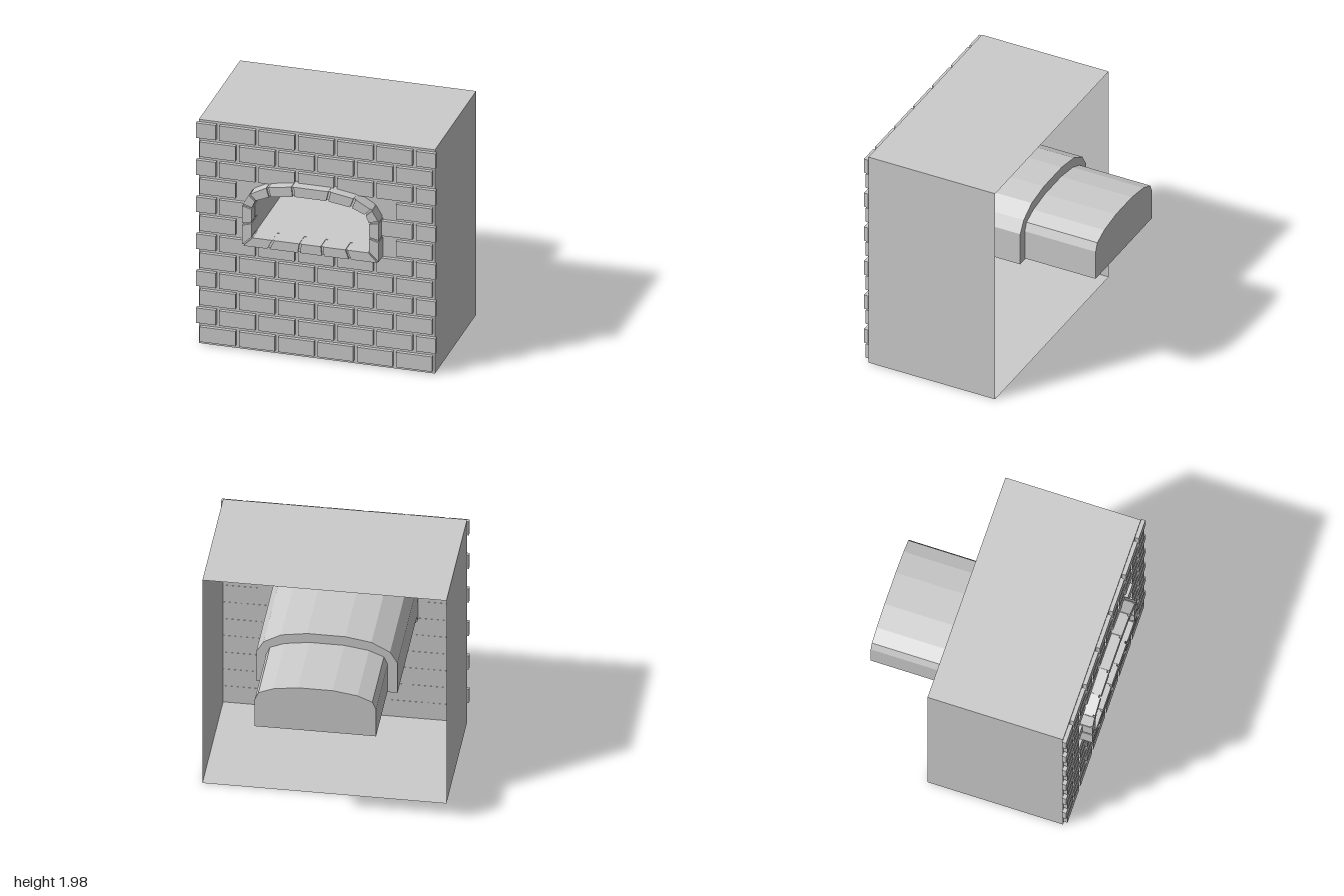
import * as THREE from 'three';

const grey = new THREE.MeshStandardMaterial({ color: 0xcccccc, flatShading: true, side: THREE.DoubleSide });

// Joints of the arch surround, anticlockwise from the lower right corner
const outer = [[0.55, 0.97], [0.55, 1.16], [0.55, 1.33], [0.49, 1.43], [0.35, 1.51], [0.14, 1.545],
  [-0.17, 1.545], [-0.38, 1.51], [-0.53, 1.43], [-0.59, 1.33], [-0.59, 1.16], [-0.59, 0.97],
  [-0.37, 0.97], [-0.115, 0.97], [0.085, 0.97], [0.31, 0.97]];
const inner = [[0.47, 1.05], [0.47, 1.18], [0.47, 1.31], [0.44, 1.38], [0.32, 1.43], [0.12, 1.46],
  [-0.16, 1.46], [-0.36, 1.43], [-0.48, 1.38], [-0.51, 1.31], [-0.51, 1.18], [-0.51, 1.05],
  [-0.33, 1.05], [-0.105, 1.05], [0.075, 1.05], [0.28, 1.05]];

const toShape = (pts) => new THREE.Shape(pts.map(([x, y]) => new THREE.Vector2(x, y)));

function add(parent, name, geometry, x = 0, y = 0, z = 0) {
  const mesh = new THREE.Mesh(geometry, grey);
  mesh.name = name;
  mesh.position.set(x, y, z);
  parent.add(mesh);
  return mesh;
}

function prism(pts, z0, z1, hole) {
  const shape = toShape(pts);
  if (hole) shape.holes.push(toShape(hole));
  return new THREE.ExtrudeGeometry(shape, { depth: z1 - z0, bevelEnabled: false }).translate(0, 0, z0);
}

// Open-ended wall following a closed outline between two depths
function sleeve(pts, z0, z1) {
  const pos = [];
  pts.forEach(([ax, ay], i) => {
    const [bx, by] = pts[(i + 1) % pts.length];
    pos.push(ax, ay, z0, bx, by, z0, bx, by, z1, ax, ay, z0, bx, by, z1, ax, ay, z1);
  });
  const g = new THREE.BufferGeometry();
  g.setAttribute('position', new THREE.Float32BufferAttribute(pos, 3));
  g.computeVertexNormals();
  return g;
}

const mix = (a, b, t) => [a[0] + (b[0] - a[0]) * t, a[1] + (b[1] - a[1]) * t];

export function createModel() {
  const model = new THREE.Group();
  model.name = 'brickOven';

  // Casing: thin panels, open at the back
  const casing = new THREE.Group();
  casing.name = 'casing';
  model.add(casing);
  const W = 0.985, H = 1.98, back = -0.31, front = 0.83;
  const depth = front - back, mid = (front + back) / 2;
  for (const s of [-1, 1]) {
    add(casing, s > 0 ? 'leftPanel' : 'rightPanel',
      new THREE.PlaneGeometry(depth, H).rotateY(s * Math.PI / 2), s * W, H / 2, mid);
    add(casing, s > 0 ? 'topPanel' : 'bottomPanel',
      new THREE.PlaneGeometry(2 * W, depth).rotateX(-s * Math.PI / 2), 0, s > 0 ? H : 0, mid);
  }
  const wall = toShape([[-W, 0], [W, 0], [W, H], [-W, H]]);
  wall.holes.push(toShape(outer.map((p, i) => mix(p, inner[i], 0.2))));
  add(casing, 'frontPanel', new THREE.ShapeGeometry(wall), 0, 0, front);

  // Running-bond brick courses, left out across the opening
  const bricks = new THREE.Group();
  bricks.name = 'bricks';
  model.add(bricks);
  const pitch = 0.328, length = 0.298;
  for (let row = 0; row < 12; row++) {
    const odd = row % 2;
    for (let i = 0; i < 6 + odd; i++) {
      const c = (i - (odd ? 3 : 2.5)) * pitch;
      const x0 = Math.max(-1, c - length / 2), x1 = Math.min(1, c + length / 2);
      if (row > 5 && row < 9 && x1 > -0.5 && x0 < 0.47) continue;
      add(bricks, 'brick', new THREE.BoxGeometry(x1 - x0, 0.132, 0.035),
        (x0 + x1) / 2, 0.094 + row * 0.1637, 0.8455);
    }
  }

  // Arch surround: separate stones over a slightly recessed mortar ring
  const surround = new THREE.Group();
  surround.name = 'archSurround';
  model.add(surround);
  add(surround, 'mortarRing', prism(
    outer.map((p, i) => mix(p, inner[i], 0.06)), 0.775, 0.93,
    inner.map((p, i) => mix(p, outer[i], 0.06))));
  outer.forEach((o, i) => {
    const j = (i + 1) % outer.length;
    const t = 0.01 / Math.hypot(outer[j][0] - o[0], outer[j][1] - o[1]);
    add(surround, 'archStone', prism([
      mix(o, outer[j], t), mix(o, outer[j], 1 - t),
      mix(inner[i], inner[j], 1 - t), mix(inner[i], inner[j], t)], 0.77, 0.947));
  });

  // Baking tunnel: thick vault inside the casing, thin chamber behind it
  const vault = outer.slice(0, 12).map(([x, y]) => [x, Math.max(y, 1.04)]);
  const lining = inner.slice(0, 12);
  add(model, 'vault', prism(vault, back, 0.8, lining));
  add(model, 'chamber', sleeve(lining, -0.947, back));
  add(model, 'chamberBack', new THREE.ShapeGeometry(toShape(lining)), 0, 0, -0.947);

  return model;
}
